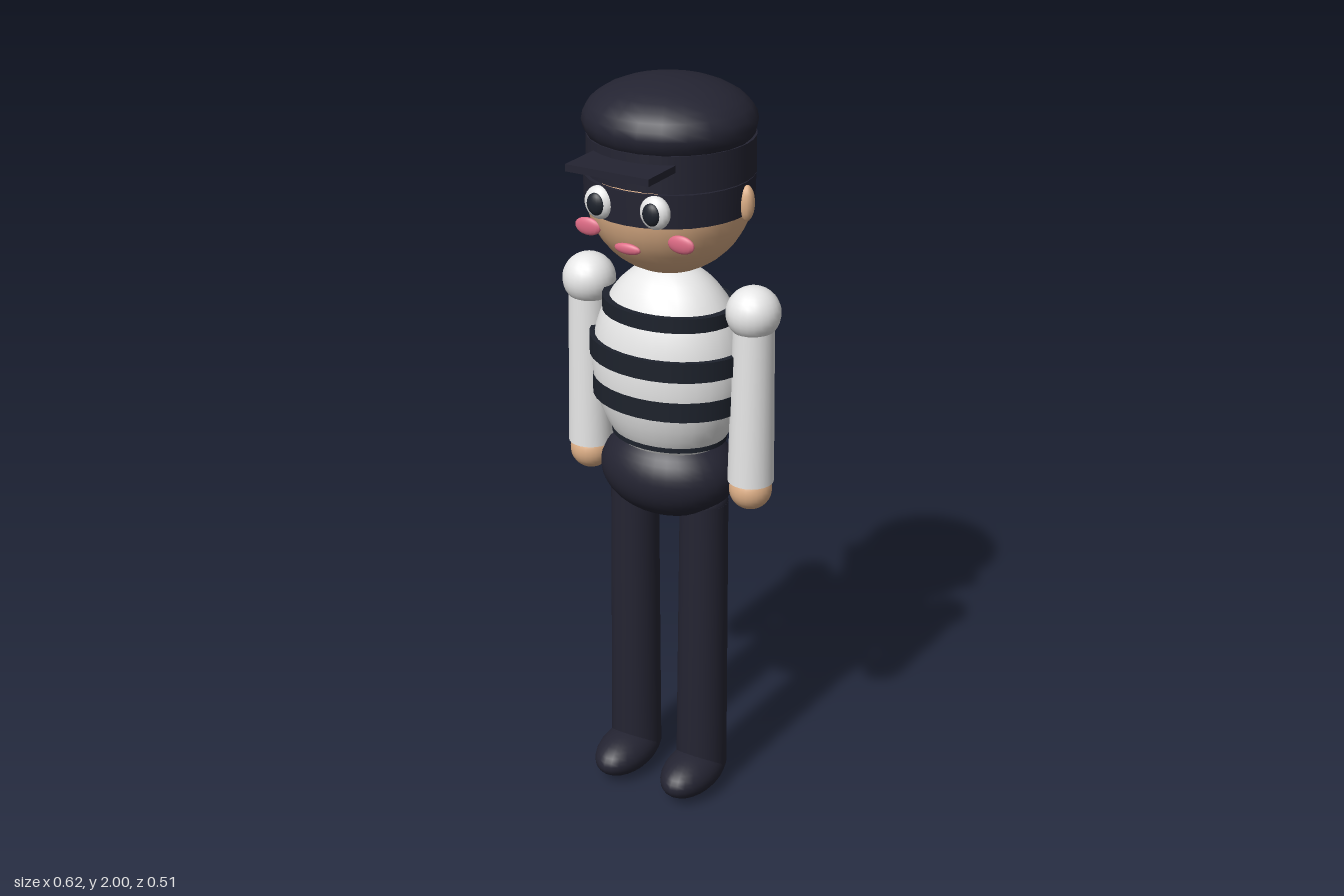
import * as THREE from 'three';

const mat = (name, color) => {
  const m = new THREE.MeshStandardMaterial({ color });
  m.name = name;
  return m;
};

export function createModel() {
  const navy = mat('navy cloth', 0x242432);
  const stripe = mat('dark stripe', 0x1d222c);
  const white = mat('white cloth', 0xebebeb);
  const skin = mat('skin', 0xdcae86);
  const pink = mat('pink', 0xdc6a84);

  const root = new THREE.Group();
  root.name = 'stripedFigure';
  const Z = -0.035; // body axis

  const add = (name, geo, material, x, y, z) => {
    const mesh = new THREE.Mesh(geo, material);
    mesh.name = name;
    mesh.position.set(x, y, z);
    root.add(mesh);
    return mesh;
  };
  const ball = (name, material, x, y, z, rx, ry, rz, seg = 24) => {
    const mesh = add(name, new THREE.SphereGeometry(1, seg, Math.ceil(seg * 0.7)), material, x, y, z);
    mesh.scale.set(rx, ry, rz);
    return mesh;
  };
  const tube = (name, material, x, y0, y1, z, rTop, rBottom, seg = 24) =>
    add(name, new THREE.CylinderGeometry(rTop, rBottom, y1 - y0, seg), material, x, (y0 + y1) / 2, z);

  // Head, mask and flat cap
  ball('head', skin, 0, 1.717, Z, 0.21, 0.21, 0.21, 32);
  tube('mask', navy, 0, 1.683, 1.767, Z, 0.214, 0.212, 32);
  tube('capBand', navy, 0, 1.765, 1.86, -0.043, 0.21, 0.211, 32);
  ball('capCrown', navy, 0, 1.895, Z, 0.219, 0.105, 0.211, 22);
  add('capBrim', new THREE.BoxGeometry(0.23, 0.018, 0.16), navy, 0, 1.83, 0.176);
  ball('mouth', pink, 0, 1.62, 0.165, 0.037, 0.014, 0.009, 16);

  // Striped torso and hips
  ball('torso', white, 0, 1.25, Z, 0.21, 0.28, 0.168, 32);
  for (const [y0, y1, r] of [[1.381, 1.429, 0.181], [1.27, 1.323, 0.217], [1.159, 1.212, 0.209], [1.053, 1.09, 0.158]]) {
    tube('shirtStripe', stripe, 0, y0, y1, Z, r, r, 32).scale.z = 0.8;
  }
  ball('hips', navy, 0, 0.955, Z, 0.19, 0.126, 0.15, 32);

  // Paired parts
  for (const [side, s] of [['left', 1], ['right', -1]]) {
    ball(side + 'Ear', skin, s * 0.217, 1.715, Z, 0.019, 0.046, 0.021, 12);
    ball(side + 'EyeWhite', white, s * 0.078, 1.725, 0.165, 0.04, 0.042, 0.026, 18);
    ball(side + 'Pupil', stripe, s * 0.078, 1.725, 0.181, 0.025, 0.029, 0.015, 16);
    ball(side + 'Cheek', pink, s * 0.132, 1.645, 0.135, 0.037, 0.023, 0.01, 16);

    ball(side + 'Shoulder', white, s * 0.241, 1.435, Z, 0.07, 0.069, 0.07);
    tube(side + 'Sleeve', white, s * 0.243, 0.975, 1.43, Z, 0.052, 0.06);
    ball(side + 'Hand', skin, s * 0.243, 0.95, Z, 0.056, 0.055, 0.056);

    tube(side + 'Leg', navy, s * 0.106, 0.06, 0.88, Z, 0.064, 0.07);
    ball(side + 'LegTop', navy, s * 0.106, 0.88, Z, 0.064, 0.05, 0.064);
    ball(side + 'Shoe', navy, s * 0.106, 0.06, 0.01, 0.075, 0.06, 0.13);
  }
  return root;
}
